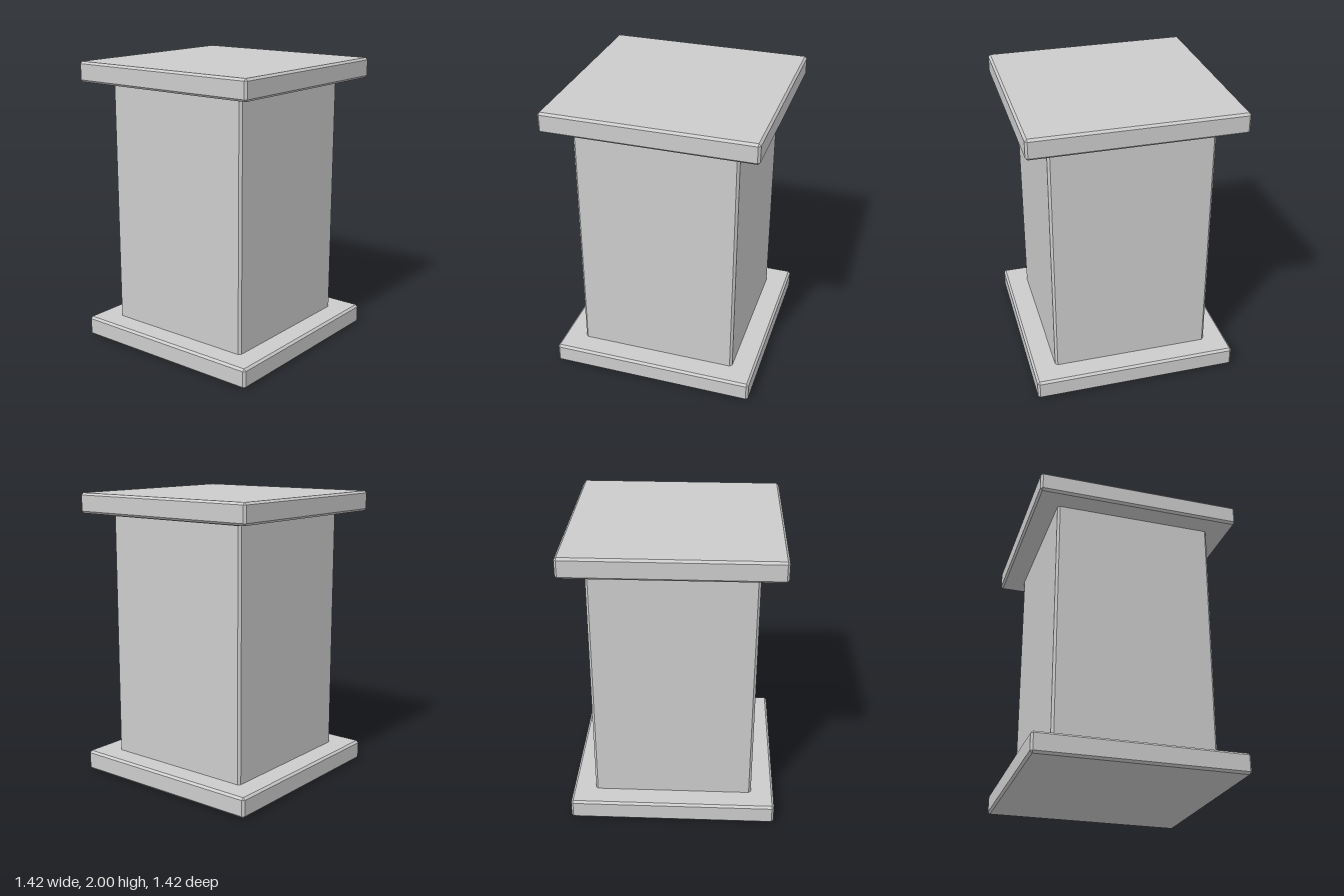
import * as THREE from 'three';
import { ConvexGeometry } from 'three/addons/geometries/ConvexGeometry.js';

// Box of size w, h, d standing on y = 0, with every edge cut by a flat chamfer c
function chamferBox(w, h, d, c) {
  const points = [];
  for (const sx of [-1, 1]) for (const sy of [-1, 1]) for (const sz of [-1, 1]) {
    const x = w / 2, y = h / 2, z = d / 2;
    for (const [px, py, pz] of [[x, y - c, z - c], [x - c, y, z - c], [x - c, y - c, z]]) {
      points.push(new THREE.Vector3(sx * px, y + sy * py, sz * pz));
    }
  }
  return new ConvexGeometry(points);
}

export function createModel() {
  const group = new THREE.Group();
  const stone = new THREE.MeshStandardMaterial({ color: 0xcccccc });
  stone.name = 'light grey stone';

  const add = (name, geometry, x, y, z) => {
    const mesh = new THREE.Mesh(geometry, stone);
    mesh.name = name;
    mesh.position.set(x, y, z);
    group.add(mesh);
  };

  // Matching square slabs at foot and head
  const slab = chamferBox(1.424, 0.14, 1.424, 0.015);
  add('baseSlab', slab, 0, 0, 0);
  add('capSlab', slab, 0, 1.86, 0);

  // Square column, its ends sunk into the slabs
  add('column', chamferBox(1.106, 1.78, 1.106, 0.016), 0, 0.11, 0);

  // Narrow ledge under the cap along the back
  add('backLedge', new THREE.BoxGeometry(1.1, 0.03, 0.045), 0, 1.857, -0.558);

  return group;
}
